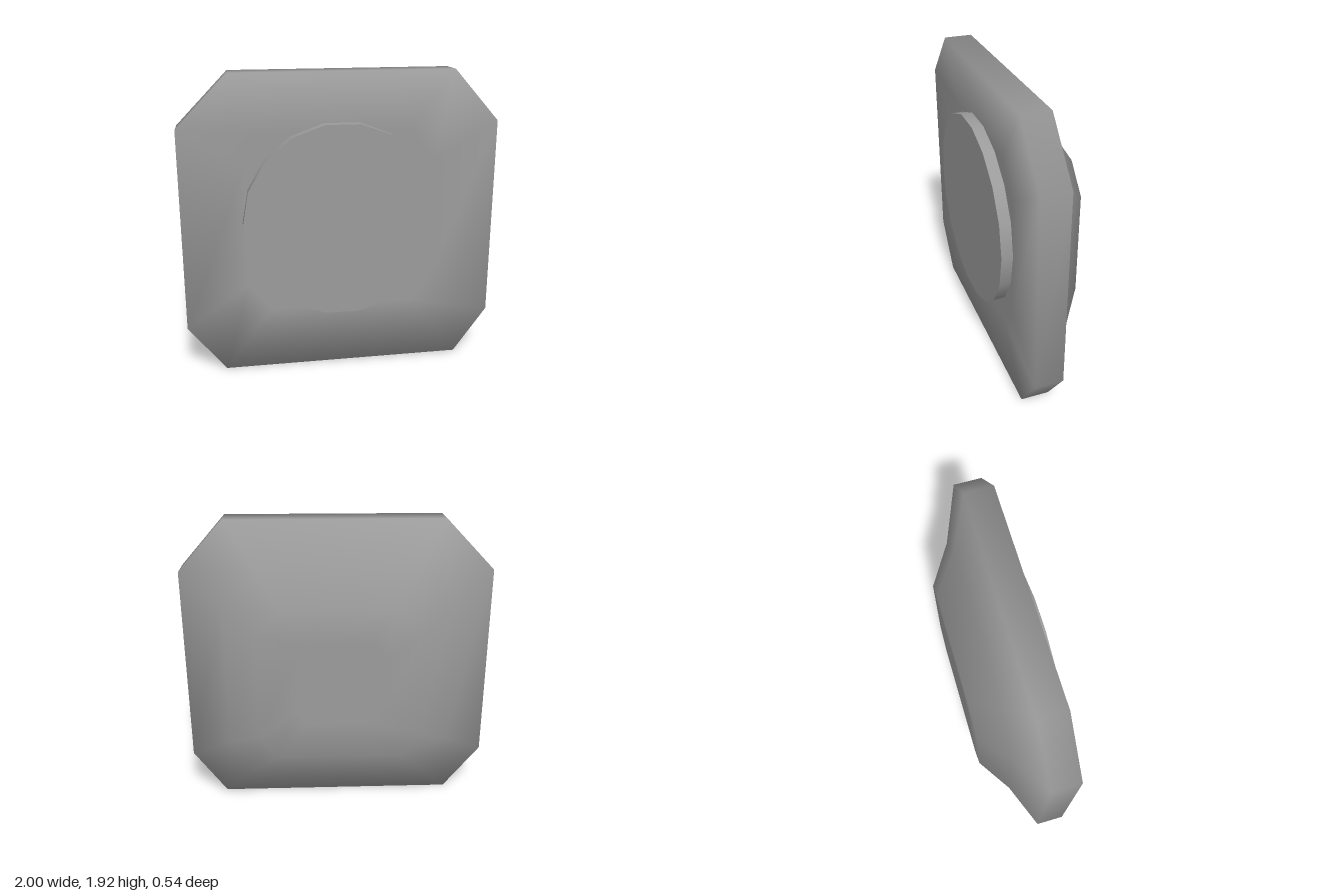
import * as THREE from 'three';

// slightly irregular octagonal outline, clockwise seen from the front
const OUTLINE = [
  [-0.68, 1.92], [0.71, 1.925], [1, 1.6], [1, 0.31],
  [0.785, 0.01], [-0.76, 0], [-1, 0.3], [-1, 1.59],
];
const MID_Y = 0.965;

// rings from the front centre to the back centre: z, x scale, y scale, centre y
const RINGS = [
  [0.195, 0, 0, 0.98],
  [0.195, 0.6, 0.6, 0.98],
  [0.195, 1, 1, MID_Y],
  [0.015, 1, 1, MID_Y],
  [-0.115, 0.725, 0.73, 0.94],
  [-0.27, 0.525, 0.525, 0.925],
  [-0.27, 0.28, 0.28, 0.925],
  [-0.27, 0, 0, 0.925],
];

function bodyGeometry() {
  const n = OUTLINE.length;
  const index = [];
  const points = RINGS.flatMap(([z, sx, sy, cy]) =>
    OUTLINE.map(([x, y]) => new THREE.Vector3(x * sx, cy + (y - MID_Y) * sy, z)));
  const normals = points.map(() => new THREE.Vector3());

  for (let r = 0; r < RINGS.length - 1; r++) {
    for (let i = 0; i < n; i++) {
      const a = r * n + i, b = r * n + (i + 1) % n;
      const c = a + n, d = b + n;
      // the centre rings collapse to a point and need one triangle only
      if (r === 0) index.push(a, d, c);
      else if (r === RINGS.length - 2) index.push(a, b, c);
      else index.push(a, b, c, b, d, c);

      // every panel counts equally, so narrow rims round off softly
      const across = points[d].clone().sub(points[a]);
      const panel = across.cross(points[c].clone().sub(points[b])).normalize();
      for (const k of [a, b, c, d]) normals[k].add(panel);
    }
  }

  const flatten = (list) => new THREE.Float32BufferAttribute(list.flatMap((v) => v.toArray()), 3);
  const geometry = new THREE.BufferGeometry();
  geometry.setAttribute('position', flatten(points));
  geometry.setAttribute('normal', flatten(normals.map((v) => v.normalize())));
  geometry.setIndex(index);
  return geometry;
}

export function createModel() {
  const group = new THREE.Group();
  group.name = 'bevelledPlate';
  const material = new THREE.MeshStandardMaterial({ color: 0x9b9b9b });

  // smooth octagonal plate tapering towards the back
  const body = new THREE.Mesh(bodyGeometry(), material);
  body.name = 'plateBody';
  group.add(body);

  // raised disc on the front
  const discGeometry = new THREE.CylinderGeometry(0.622, 0.622, 0.12, 18, 1, false, Math.PI / 2);
  discGeometry.rotateX(Math.PI / 2);
  const disc = new THREE.Mesh(discGeometry, material);
  disc.name = 'frontDisc';
  disc.position.set(0, 0.998, 0.207);
  group.add(disc);

  return group;
}
